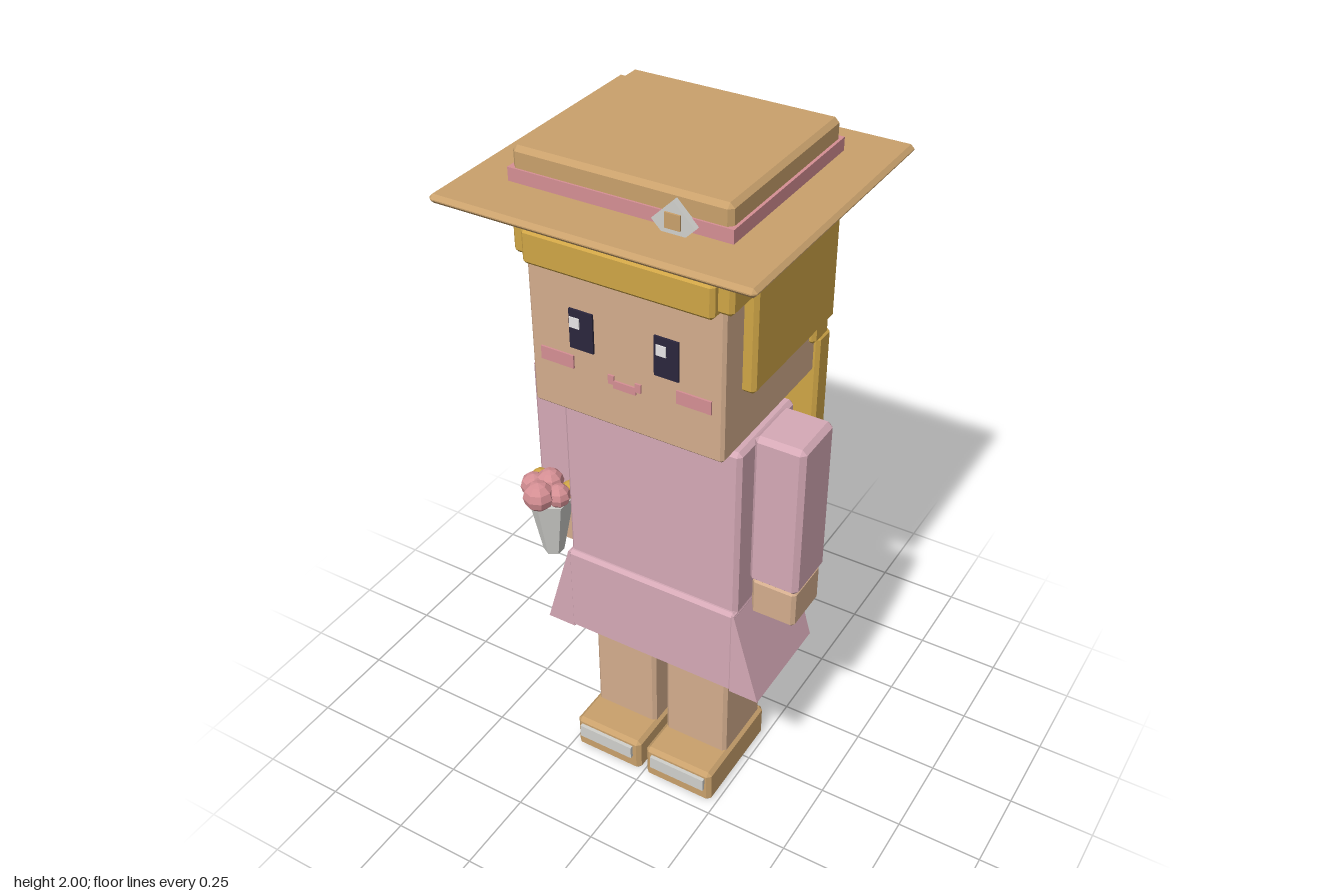
import * as THREE from 'three';
import { ConvexGeometry } from 'three/addons/geometries/ConvexGeometry.js';

const mat = (name, color) => {
  const m = new THREE.MeshStandardMaterial({ color });
  m.name = name;
  return m;
};

export function createModel() {
  const model = new THREE.Group();
  model.name = 'girlWithHat';

  const skin = mat('skin', 0xd3ad8d);
  const pink = mat('dressPink', 0xd5a9b6);
  const hair = mat('hairGold', 0xcfa546);
  const straw = mat('straw', 0xc9a16c);
  const rose = mat('rose', 0xd58f94);
  const silver = mat('silver', 0xd0d0cc);
  const dark = mat('eyeDark', 0x2b263c);
  const white = mat('eyeWhite', 0xf0eef0);

  const add = (name, geometry, material, x = 0, y = 0, z = 0) => {
    const mesh = new THREE.Mesh(geometry, material);
    mesh.name = name;
    mesh.position.set(x, y, z);
    model.add(mesh);
    return mesh;
  };

  // Box between two corners with chamfered edges (c = 0 gives sharp edges)
  const box = (name, material, [x0, x1], [y0, y1], [z0, z1], c = 0.01) => {
    const w = x1 - x0, h = y1 - y0, d = z1 - z0;
    let geometry;
    if (c > 0) {
      const points = [];
      for (const sx of [-1, 1]) for (const sy of [-1, 1]) for (const sz of [-1, 1]) {
        for (let face = 0; face < 3; face++) {
          const inset = (half, axis) => half - (axis === face ? 0 : c);
          points.push(new THREE.Vector3(
            sx * inset(w / 2, 0), sy * inset(h / 2, 1), sz * inset(d / 2, 2)));
        }
      }
      geometry = new ConvexGeometry(points);
    } else {
      geometry = new THREE.BoxGeometry(w, h, d);
    }
    return add(name, geometry, material, (x0 + x1) / 2, (y0 + y1) / 2, (z0 + z1) / 2);
  };
  // x range mirrored to the chosen side
  const side = (s, a, b) => (s > 0 ? [a, b] : [-b, -a]);

  // Head and neck
  box('head', skin, [-0.275, 0.275], [1.3, 1.8], [-0.23, 0.255], 0.008);
  box('neck', skin, [-0.095, 0.095], [1.23, 1.32], [-0.09, 0.095], 0);

  // Hair
  box('hairCap', hair, [-0.3, 0.3], [1.725, 1.885], [-0.265, 0.27]);
  box('fringe', hair, [-0.262, 0.262], [1.715, 1.81], [0.24, 0.292]);
  box('backHair', hair, [-0.292, 0.292], [1.4, 1.88], [-0.271, -0.19]);
  box('hairTail', hair, [-0.287, 0.287], [1.095, 1.4], [-0.3, -0.23]);

  // Straw hat
  box('hatBrim', straw, [-0.427, 0.427], [1.882, 1.905], [-0.41, 0.41], 0.01);
  box('hatCrown', straw, [-0.29, 0.29], [1.9, 2], [-0.265, 0.265], 0.012);
  box('hatBand', rose, [-0.298, 0.298], [1.912, 1.947], [-0.272, 0.27], 0);
  const badge = box('hatBadge', silver, [0.115, 0.195], [1.89, 1.97], [0.268, 0.285], 0);
  badge.rotation.z = Math.PI / 4;
  box('badgeCentre', straw, [0.135, 0.175], [1.918, 1.956], [0.28, 0.29], 0);

  for (const s of [-1, 1]) {
    const label = s > 0 ? 'left' : 'right';

    box(label + 'SideHair', hair, side(s, 0.262, 0.309), [1.46, 1.8], [-0.262, 0.168]);

    // Face details
    box(label + 'Eye', dark, side(s, 0.086, 0.154), [1.5, 1.61], [0.254, 0.261], 0);
    const glint = s > 0 ? 0.107 : -0.137;
    box(label + 'EyeGlint', white, [glint - 0.014, glint + 0.014], [1.56, 1.589], [0.259, 0.264], 0);
    box(label + 'Cheek', rose, side(s, 0.147, 0.243), [1.438, 1.475], [0.254, 0.26], 0);
    box(label + 'MouthCorner', rose, side(s, 0.03, 0.047), [1.43, 1.455], [0.254, 0.26], 0);

    // Arm and hand
    box(label + 'Sleeve', pink, side(s, 0.265, 0.412), [0.797, 1.275], [-0.085, 0.085], 0.014);
    box(label + 'Hand', skin, side(s, 0.272, 0.405), [0.677, 0.8], [-0.076, 0.076]);

    // Leg and shoe
    box(label + 'Leg', skin, side(s, 0.019, 0.223), [0.1, 0.46], [-0.107, 0.108]);
    box(label + 'Shoe', straw, side(s, 0.01, 0.233), [0, 0.115], [-0.12, 0.215], 0.012);
    box(label + 'ShoeBuckle', silver, side(s, 0.034, 0.215), [0.053, 0.096], [0.21, 0.226], 0);

    // Flared skirt side
    const wedge = new THREE.Shape();
    wedge.moveTo(s * 0.26, 0.44);
    wedge.lineTo(s * 0.35, 0.44);
    wedge.lineTo(s * 0.268, 0.725);
    wedge.lineTo(s * 0.26, 0.725);
    add(label + 'SkirtFlare',
      new THREE.ExtrudeGeometry(wedge, { depth: 0.326, bevelEnabled: false }),
      pink, 0, 0, -0.163);
  }
  box('mouth', rose, [-0.032, 0.032], [1.42, 1.442], [0.254, 0.26], 0);

  // Dress
  box('bodice', pink, [-0.268, 0.268], [0.71, 1.256], [-0.145, 0.15], 0.012);
  box('skirt', pink, [-0.27, 0.27], [0.44, 0.73], [-0.165, 0.165]);

  // Bouquet held in the right hand
  add('bouquetWrap', new THREE.CylinderGeometry(0.066, 0.03, 0.19, 6).toNonIndexed(),
    silver, -0.342, 0.775, 0.13).geometry.computeVertexNormals();
  const bloom = (x, y, z, r, material) =>
    add('flower', new THREE.SphereGeometry(r, 8, 6).toNonIndexed(), material, x, y, z)
      .geometry.computeVertexNormals();
  bloom(-0.34, 0.912, 0.187, 0.045, rose);
  bloom(-0.386, 0.905, 0.145, 0.038, rose);
  bloom(-0.3, 0.905, 0.15, 0.036, rose);
  bloom(-0.34, 0.925, 0.13, 0.04, rose);
  bloom(-0.29, 0.9, 0.105, 0.027, hair);
  bloom(-0.395, 0.9, 0.1, 0.027, hair);

  return model;
}
